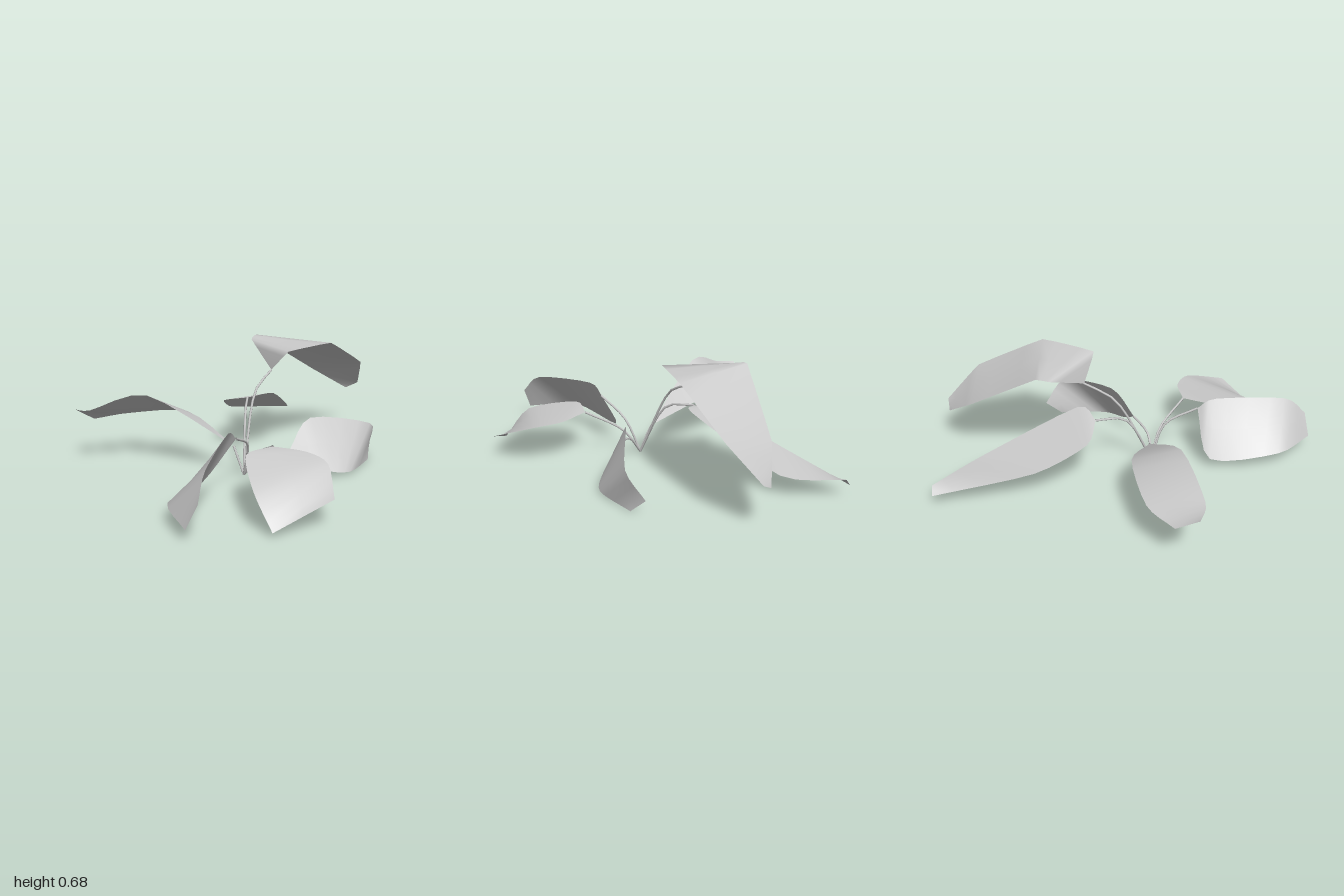
import * as THREE from 'three';

const ROOT = new THREE.Vector3(-0.18, 0.012, 0.12);

// Curve from a start point through a few [x, y, z] points; low roundness keeps the corners
const curveFrom = (start, points, roundness) => new THREE.CatmullRomCurve3(
  [start, ...points.map((p) => new THREE.Vector3(...p))], false, 'catmullrom', roundness);

// Leaf blade: a plane spanned between its left and right edge curves, base to tip
function bladeGeometry(leftEdge, rightEdge) {
  const geometry = new THREE.PlaneGeometry(1, 1, 2, 12);
  const { position, uv } = geometry.attributes;
  for (let i = 0; i < position.count; i++) {
    const along = uv.getY(i);
    const p = leftEdge.getPoint(along).lerp(rightEdge.getPoint(along), uv.getX(i));
    position.setXYZ(i, p.x, p.y, p.z);
  }
  geometry.computeVertexNormals();
  return geometry;
}

export function createModel() {
  const plant = new THREE.Group();
  plant.name = 'leafyPlant';
  const leafGrey = new THREE.MeshStandardMaterial({ color: 0xcccccc, side: THREE.DoubleSide });
  leafGrey.name = 'leafGrey';

  // One arm: a thin stem bending from the root to the leaf base, then the blade
  function addArm(name, roundness, bend, base, left, right) {
    const arm = new THREE.Group();
    arm.name = name;
    const stemPath = curveFrom(ROOT, [bend, base], 0.5);
    const stem = new THREE.Mesh(new THREE.TubeGeometry(stemPath, 8, 0.007, 5), leafGrey);
    stem.name = 'stem';
    const basePoint = new THREE.Vector3(...base);
    const leaf = new THREE.Mesh(bladeGeometry(
      curveFrom(basePoint, left, roundness), curveFrom(basePoint, right, roundness)), leafGrey);
    leaf.name = 'leaf';
    arm.add(stem, leaf);
    plant.add(arm);
  }

  // Tall leaf arching to the side
  addArm('tallArm', 0.08, [-0.04, 0.42, -0.03], [0.13, 0.54, -0.13],
    [[0.14, 0.67, -0.41], [0.2, 0.685, -0.46], [0.65, 0.4, -0.53], [0.89, 0.25, -0.49]],
    [[0.17, 0.675, 0.01], [0.5, 0.68, -0.06], [0.85, 0.48, -0.26], [0.95, 0.29, -0.44]]);

  // Leaves at the back
  addArm('backArm', 0.35, [-0.1, 0.32, -0.02], [0, 0.37, -0.19],
    [[-0.075, 0.32, -0.36], [0.1, 0.19, -0.61], [0.52, 0.075, -1]],
    [[0.16, 0.385, -0.16], [0.51, 0.14, -0.61], [0.545, 0.12, -0.97]]);
  addArm('backRightArm', 0.4, [-0.2, 0.11, 0.08], [-0.21, 0.17, 0.05],
    [[-0.62, 0.45, -0.24], [-0.9, 0.35, -0.43], [-0.955, 0.33, -0.555]],
    [[-0.34, 0.3, -0.3], [-0.62, 0.265, -0.545], [-0.83, 0.245, -0.59]]);

  // Leaves at the front
  addArm('frontRightArm', 0.4, [-0.2, 0.22, 0.21], [-0.34, 0.32, 0.35],
    [[-0.42, 0.38, 0.42], [-0.7, 0.33, 0.75], [-0.79, 0.21, 0.86]],
    [[-0.5, 0.07, 0.26], [-0.81, 0.1, 0.52], [-0.845, 0.08, 0.83]]);
  addArm('frontArm', 0.4, [-0.155, 0.17, 0.23], [-0.17, 0.28, 0.45],
    [[-0.04, 0.27, 0.58], [-0.005, 0.25, 0.75], [-0.115, 0.16, 0.995]],
    [[-0.36, 0.28, 0.51], [-0.47, 0.2, 0.81], [-0.44, 0.03, 0.955]]);
  addArm('frontLeftArm', 0.4, [-0.1, 0.13, 0.185], [0.05, 0.165, 0.245],
    [[0.2, 0.325, 0.215], [0.6, 0.24, 0.235], [0.67, 0.09, 0.13]],
    [[0.21, 0.05, 0.35], [0.38, 0.015, 0.37], [0.61, 0.003, 0.21]]);

  return plant;
}
